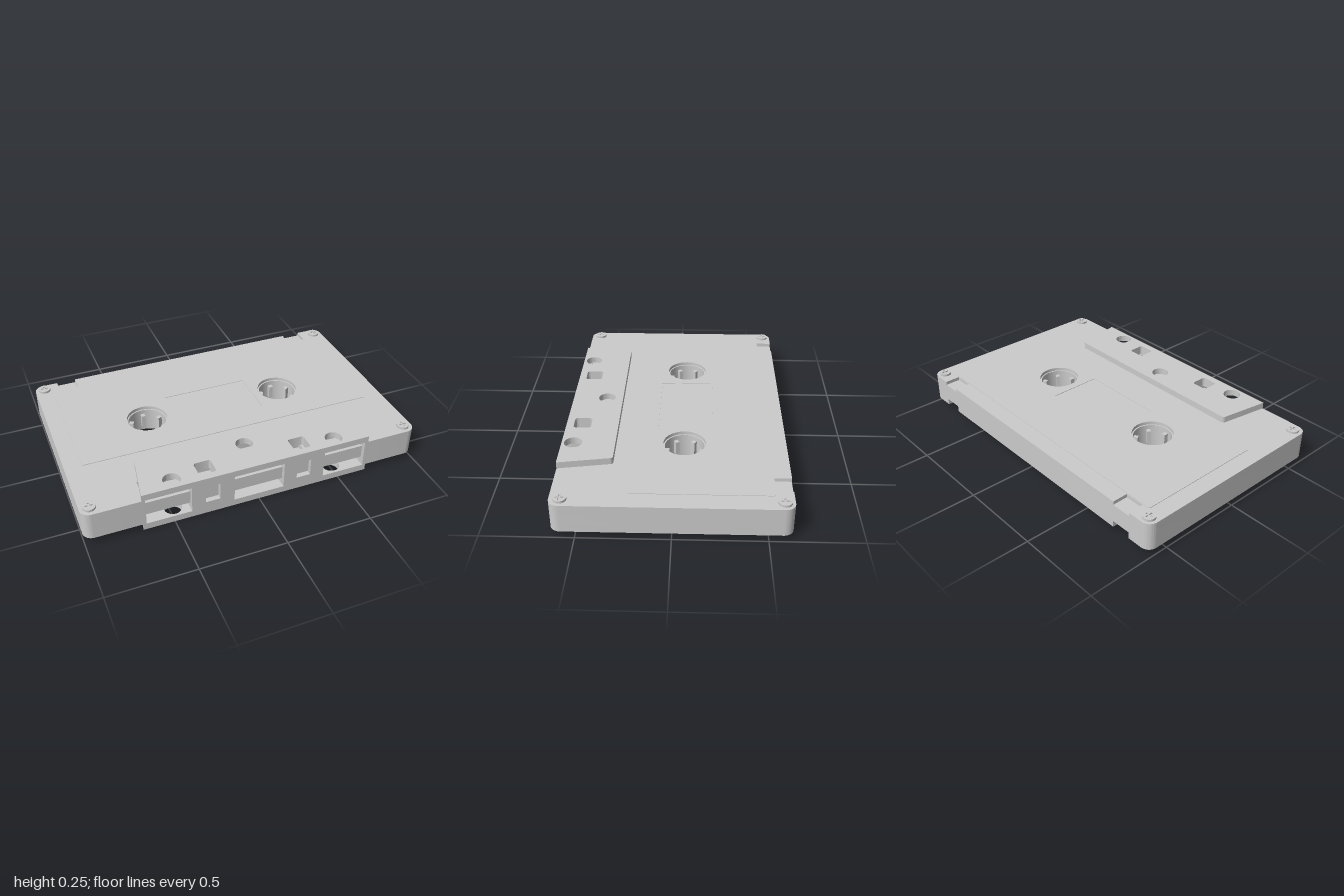
import * as THREE from 'three';
import { toCreasedNormals } from 'three/addons/utils/BufferGeometryUtils.js';

const material = new THREE.MeshStandardMaterial({ color: 0xcccccc });
const HALF_Z = 0.628, BOTTOM = 0.04, TOP = 0.206, HEIGHT = 0.245;
const HUBS = [[-0.435, -0.055], [0.42, -0.055]];
// front windows: [x0, x1, z of the back wall]
const LARGE = [[-0.66, -0.4, 0.47], [-0.15, 0.15, 0.36], [0.4, 0.66, 0.47]];
const SMALL = [[-0.32, -0.235, 0.47], [0.23, 0.315, 0.47]];
const NOTCHES = [[-0.855, -0.74], [0.735, 0.85]];

// Shapes are drawn in plan as (x, -z)
function circle(x, z, r) {
  return new THREE.Path().absarc(x, -z, r, 0, Math.PI * 2);
}

function roundedRect(x0, x1, z0, z1, r, Type = THREE.Path) {
  const p = new Type();
  p.moveTo(x0 + r, -z1);
  p.absarc(x1 - r, -z1 + r, r, -Math.PI / 2, 0);
  p.absarc(x1 - r, -z0 - r, r, 0, Math.PI / 2);
  p.absarc(x0 + r, -z0 - r, r, Math.PI / 2, Math.PI);
  p.absarc(x0 + r, -z1 + r, r, Math.PI, Math.PI * 1.5);
  return p;
}

function slab(name, shape, y0, y1) {
  const geo = new THREE.ExtrudeGeometry(shape, { depth: y1 - y0, bevelEnabled: false, curveSegments: 20 });
  geo.rotateX(-Math.PI / 2).translate(0, y0, 0);
  const mesh = new THREE.Mesh(toCreasedNormals(geo, 0.5), material);
  mesh.name = name;
  return mesh;
}

// Shell outline with pockets cut into the front edge and notches into the back
function shellOutline(pockets, notches) {
  const s = new THREE.Shape(), r = 0.055, h = HALF_Z;
  s.moveTo(-1 + r, -h);
  for (const [a, b, z] of pockets) {
    s.lineTo(a, -h).lineTo(a, -z).lineTo(b, -z).lineTo(b, -h);
  }
  s.absarc(1 - r, -h + r, r, -Math.PI / 2, 0);
  s.absarc(1 - r, h - r, r, 0, Math.PI / 2);
  for (const [a, b] of [...notches].reverse()) {
    s.lineTo(b, h).lineTo(b, 0.535).lineTo(a, 0.535).lineTo(a, h);
  }
  s.absarc(-1 + r, h - r, r, Math.PI / 2, Math.PI);
  s.absarc(-1 + r, -h + r, r, Math.PI, Math.PI * 1.5);
  for (const [x, z] of HUBS) s.holes.push(circle(x, z, 0.12));
  return s;
}

const squareHoles = () => [-0.29, 0.28].map(x => roundedRect(x - 0.05, x + 0.05, 0.485, 0.585, 0.015));

function shell() {
  const g = new THREE.Group();
  g.name = 'shell';
  const face = shellOutline(LARGE, NOTCHES);
  face.holes.push(...squareHoles());
  const core = shellOutline([LARGE[0], SMALL[0], LARGE[1], SMALL[1], LARGE[2]], []);
  g.add(slab('lowerShell', face, BOTTOM, 0.078),
    slab('shellCore', core, 0.078, 0.185),
    slab('upperShell', face, 0.185, TOP));
  return g;
}

// Trapezoid thickening over the front edge
function headPlate(name, y0, y1) {
  const s = new THREE.Shape();
  s.moveTo(-0.68, -HALF_Z).lineTo(0.68, -HALF_Z).lineTo(0.632, -0.345);
  s.quadraticCurveTo(0.63, -0.328, 0.615, -0.328);
  s.lineTo(-0.615, -0.328);
  s.quadraticCurveTo(-0.63, -0.328, -0.632, -0.345);
  s.holes.push(circle(-0.49, 0.563, 0.05), circle(0.485, 0.563, 0.05), circle(-0.01, 0.425, 0.05), ...squareHoles());
  return slab(name, s, y0, y1);
}

function hub(x, z) {
  const g = new THREE.Group();
  g.name = 'hub';
  const ring = new THREE.Shape().absarc(0, 0, 0.12, 0, Math.PI * 2);
  ring.holes.push(circle(0, 0, 0.112));
  g.add(slab('hubRing', ring, 0.055, 0.19));
  for (let i = 0; i < 6; i++) {
    const a = (i + 0.5) * Math.PI / 3 + 0.03;
    const tooth = new THREE.Mesh(new THREE.BoxGeometry(0.03, 0.08, 0.024), material);
    tooth.name = 'hubTooth';
    tooth.position.set(Math.cos(a) * 0.1, 0.1225, Math.sin(a) * 0.1);
    tooth.rotation.y = -a;
    g.add(tooth);
  }
  g.position.set(x, 0, z);
  return g;
}

// Screw through the shell, with a cross recess in both heads
function screw(x, z) {
  const g = new THREE.Group();
  g.name = 'screw';
  const head = new THREE.Shape().absarc(0, 0, 0.036, 0, Math.PI * 2);
  const w = 0.005, l = 0.022;
  head.holes.push(new THREE.Path([
    [-w, -l], [w, -l], [w, -w], [l, -w], [l, w], [w, w],
    [w, l], [-w, l], [-w, w], [-l, w], [-l, -w], [-w, -w],
  ].map(p => new THREE.Vector2(...p))));
  const shaft = new THREE.Shape().absarc(0, 0, 0.036, 0, Math.PI * 2);
  g.add(slab('screwShaft', shaft, 0.034, 0.211),
    slab('screwHeadTop', head, 0.211, 0.219),
    slab('screwHeadBottom', head, 0.026, 0.034));
  g.position.set(x, 0, z);
  return g;
}

// Thin raised label with a window between the hubs
function label() {
  const s = roundedRect(-0.9, 0.89, -0.53, 0.23, 0.01, THREE.Shape);
  for (const [x, z] of HUBS) s.holes.push(circle(x, z, 0.12));
  s.holes.push(roundedRect(-0.265, 0.255, -0.217, 0.1, 0.005));
  return slab('label', s, TOP - 0.002, TOP + 0.003);
}

function box(name, x0, x1, y0, y1, z0, z1) {
  const mesh = new THREE.Mesh(new THREE.BoxGeometry(x1 - x0, y1 - y0, z1 - z0), material);
  mesh.name = name;
  mesh.position.set((x0 + x1) / 2, (y0 + y1) / 2, (z0 + z1) / 2);
  return mesh;
}

export function createModel() {
  const model = new THREE.Group();
  model.name = 'cassette';
  model.add(shell(), label());
  model.add(headPlate('lowerHeadPlate', 0, BOTTOM), headPlate('upperHeadPlate', TOP, HEIGHT));
  for (const [x, z] of HUBS) model.add(hub(x, z));
  for (const x of [-0.945, 0.945]) for (const z of [-0.575, 0.57]) model.add(screw(x, z));

  // Guide bar and tape seen inside the front windows
  for (const [a, b, z] of [...LARGE, ...SMALL]) {
    model.add(box('guideBar', a, b, 0.088, 0.157, z, 0.6));
    model.add(box('tape', a, b, 0.082, 0.164, 0.594, 0.602));
  }
  return model;
}
